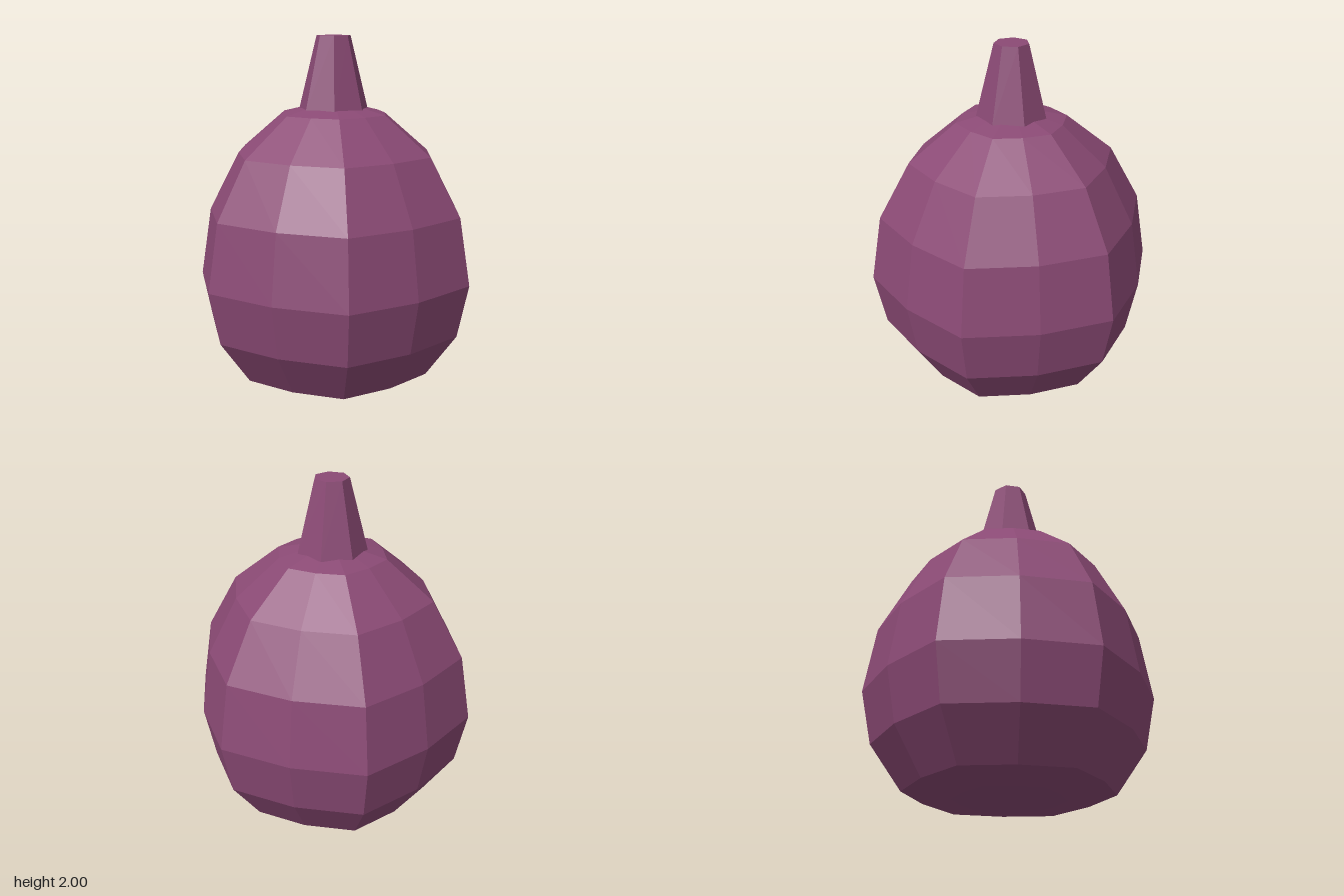
import * as THREE from 'three';

const material = new THREE.MeshStandardMaterial({ color: 0x8b4a75, flatShading: true });

function addPart(group, name, geometry) {
  const faceted = geometry.toNonIndexed();
  faceted.computeVertexNormals();
  const mesh = new THREE.Mesh(faceted, material);
  mesh.name = name;
  group.add(mesh);
  return mesh;
}

export function createModel() {
  const group = new THREE.Group();
  group.name = 'gourd';

  // Body: squashed, flat-bottomed profile turned in twelve sides
  const profile = [
    [0, 0], [0.323, 0], [0.597, 0.037], [0.78, 0.3], [0.845, 0.613],
    [0.78, 1.003], [0.597, 1.333], [0.323, 1.556], [0, 1.635],
  ].map(([r, y]) => new THREE.Vector2(r, y));
  const body = new THREE.LatheGeometry(profile, 12, Math.PI / 2);

  // Six ribs: every other column of vertices is drawn inward
  const pos = body.attributes.position;
  for (let i = 0; i < pos.count; i++) {
    const x = pos.getX(i), z = pos.getZ(i);
    const k = 0.965 + 0.035 * Math.cos(6 * Math.atan2(z, x));
    pos.setX(i, x * k);
    pos.setZ(i, z * k);
  }
  addPart(group, 'body', body);

  // Stem: tapered seven-sided stalk with one corner to the back
  const base = 1.583, height = 2 - base;
  const stem = new THREE.CylinderGeometry(0.1, 0.204, height, 7);
  stem.rotateY(Math.PI);
  stem.translate(0, base + height / 2, 0);
  addPart(group, 'stem', stem);

  return group;
}
